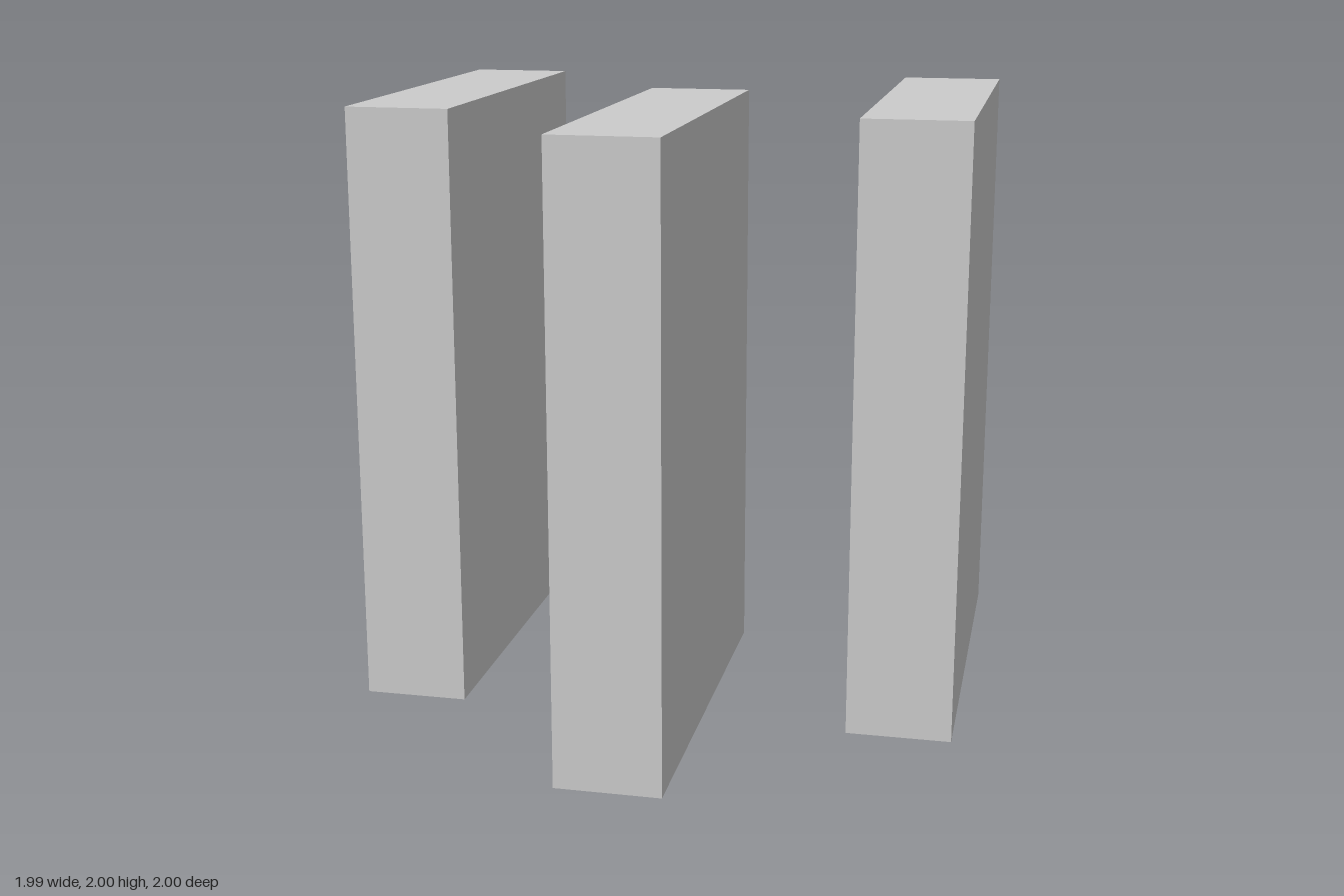
import * as THREE from 'three';

const WIDTH = 0.343, HEIGHT = 2, DEPTH = 1.408;

export function createModel() {
  const model = new THREE.Group();
  model.name = 'staggeredSlabs';
  const material = new THREE.MeshStandardMaterial({ color: 0xcccccc, flatShading: true });
  const slab = new THREE.BoxGeometry(WIDTH, HEIGHT, DEPTH);

  // Two outer slabs flush with the back, the middle one flush with the front
  const offset = 1 - DEPTH / 2;
  const slabs = [
    ['rightSlab', -0.823, -offset],
    ['middleSlab', -0.003, offset],
    ['leftSlab', 0.823, -offset],
  ];
  for (const [name, x, z] of slabs) {
    const mesh = new THREE.Mesh(slab, material);
    mesh.name = name;
    mesh.position.set(x, HEIGHT / 2, z);
    model.add(mesh);
  }
  return model;
}
